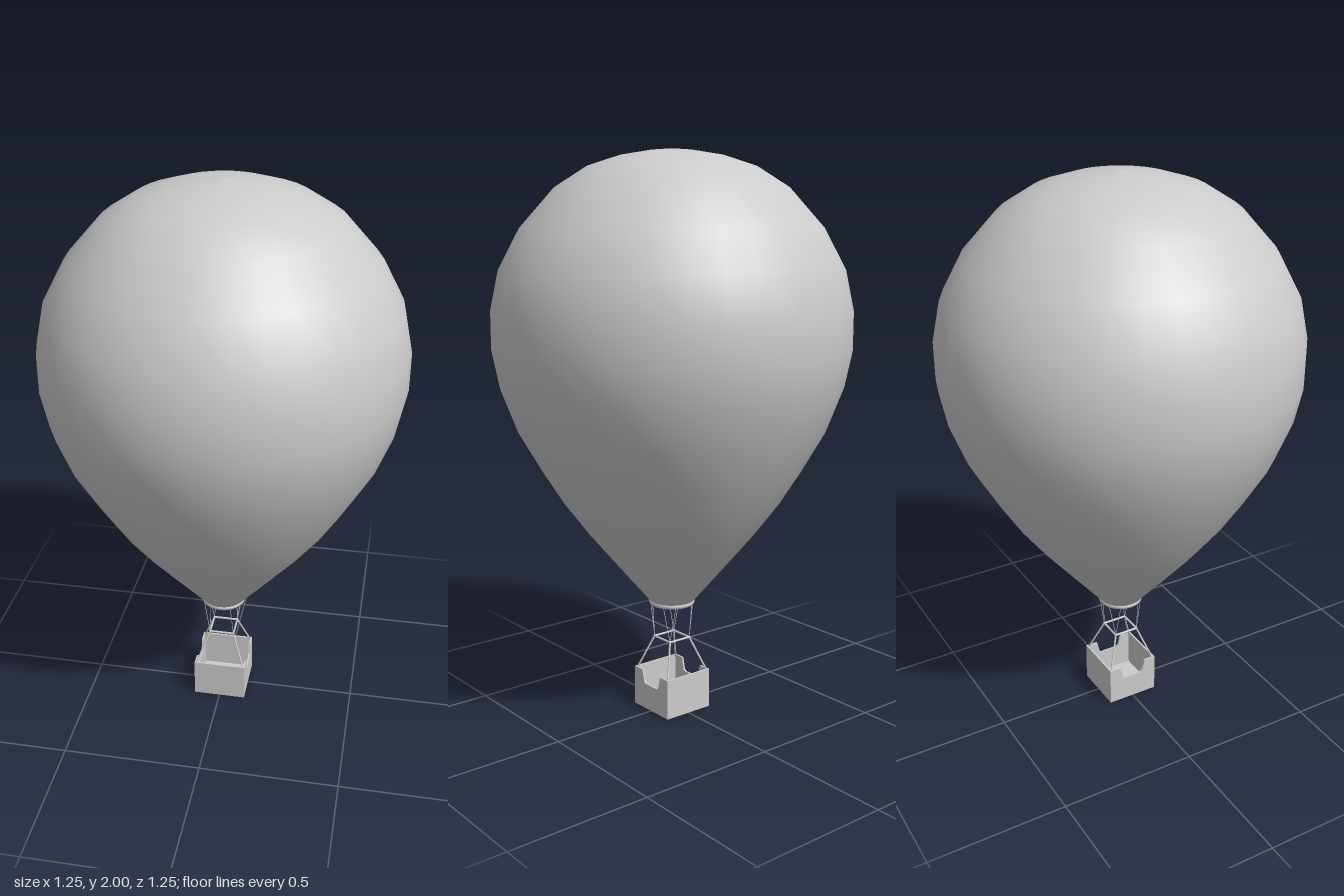
import * as THREE from 'three';

const grey = new THREE.MeshStandardMaterial({ color: 0xcccccc });
const fabric = new THREE.MeshStandardMaterial({ color: 0xcccccc, side: THREE.DoubleSide });

function add(parent, name, geometry, material = grey) {
  const mesh = new THREE.Mesh(geometry, material);
  mesh.name = name;
  parent.add(mesh);
  return mesh;
}

// Straight rod between two points
function rod(parent, name, a, b, radius, sides = 8) {
  const from = new THREE.Vector3(...a), to = new THREE.Vector3(...b);
  const dir = to.clone().sub(from);
  const mesh = add(parent, name, new THREE.CylinderGeometry(radius, radius, dir.length(), sides));
  mesh.position.copy(from).add(to).multiplyScalar(0.5);
  mesh.quaternion.setFromUnitVectors(new THREE.Vector3(0, 1, 0), dir.normalize());
  return mesh;
}

function lathe(profile) {
  return new THREE.LatheGeometry(profile.map(([r, y]) => new THREE.Vector2(r, y)), 32);
}

export function createModel() {
  const model = new THREE.Group();
  model.name = 'hotAirBalloon';

  // Fabric envelope, open at the mouth
  add(model, 'envelope', lathe([
    [0.078, 0.405], [0.2, 0.55], [0.3, 0.67], [0.39, 0.79], [0.465, 0.91], [0.545, 1.05],
    [0.6, 1.195], [0.625, 1.32], [0.625, 1.455], [0.595, 1.595], [0.52, 1.735],
    [0.4, 1.87], [0.29, 1.94], [0.18, 1.976], [0.08, 1.993], [0, 2],
  ]), fabric);

  // Vent panel lying just inside the crown
  add(model, 'ventPanel', lathe([[0.275, 1.942], [0.18, 1.97], [0.08, 1.987], [0, 1.994]]), fabric);

  // Band around the mouth
  add(model, 'mouthRing', lathe([
    [0.074, 0.394], [0.08, 0.394], [0.083, 0.402], [0.08, 0.41], [0.074, 0.41], [0.074, 0.394],
  ]), fabric);

  // Basket: floor, two plain walls, two walls with a step-in notch
  const basket = new THREE.Group();
  basket.name = 'basket';
  model.add(basket);
  const half = 0.097, height = 0.145, wall = 0.007;
  add(basket, 'floor', new THREE.BoxGeometry(2 * half, wall, 2 * half)).position.y = wall / 2;

  const notched = new THREE.Shape([
    [-half, 0], [half, 0], [half, height], [0.052, height], [0.047, 0.125], [0.042, 0.102],
    [0.034, 0.095], [-0.034, 0.095], [-0.042, 0.102], [-0.047, 0.125], [-0.052, height], [-half, height],
  ].map(([x, y]) => new THREE.Vector2(x, y)));
  const notchedWall = new THREE.ExtrudeGeometry(notched, { depth: wall, bevelEnabled: false });

  for (const s of [-1, 1]) {
    const plain = add(basket, s > 0 ? 'frontWall' : 'backWall',
      new THREE.BoxGeometry(2 * half, height, wall));
    plain.position.set(0, height / 2, s * (half - wall / 2));

    const side = add(basket, s > 0 ? 'leftWall' : 'rightWall', notchedWall);
    side.rotation.y = s * Math.PI / 2;
    side.position.x = s * (half - wall);
  }

  // Square load frame, uprights and suspension cables
  const rigging = new THREE.Group();
  rigging.name = 'rigging';
  model.add(rigging);
  const f = 0.045, frameY = 0.264;
  for (const s of [-1, 1]) {
    rod(rigging, 'frameBar', [-f, frameY, s * f], [f, frameY, s * f], 0.004);
    rod(rigging, 'frameBar', [s * f, frameY, -f], [s * f, frameY, f], 0.004);
    for (const t of [-1, 1]) {
      add(rigging, 'frameCorner', new THREE.SphereGeometry(0.005, 10, 8)).position.set(s * f, frameY, t * f);
      rod(rigging, 'upright', [s * 0.092, height - 0.01, t * 0.092], [s * f, frameY, t * f], 0.0035);
      for (const degrees of [28, 62]) {
        const a = THREE.MathUtils.degToRad(degrees);
        rod(rigging, 'cable', [s * f, frameY, t * f],
          [s * 0.078 * Math.cos(a), 0.4, t * 0.078 * Math.sin(a)], 0.0012, 6);
      }
    }
  }
  return model;
}
